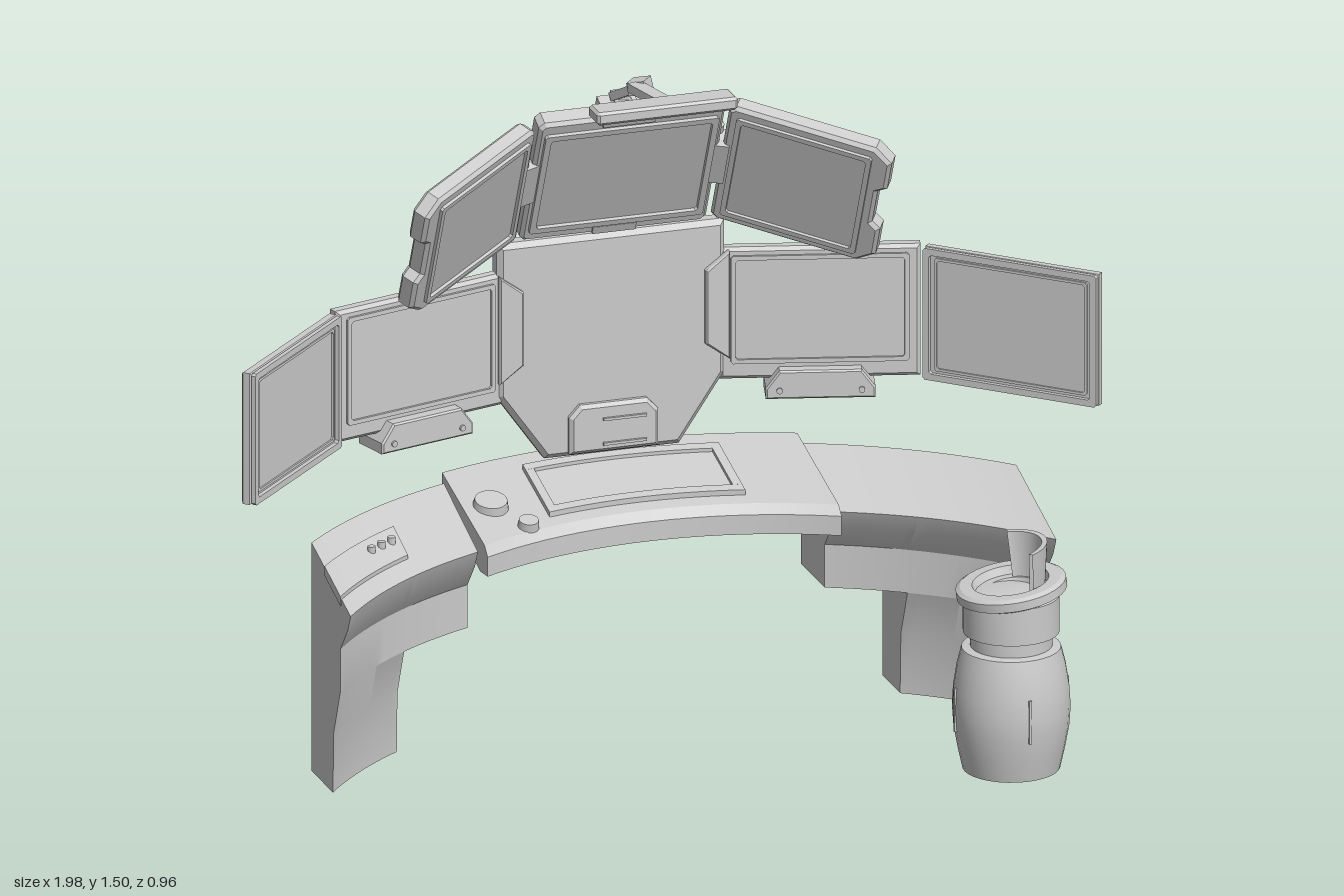
import * as THREE from 'three';
import { toCreasedNormals } from 'three/addons/utils/BufferGeometryUtils.js';

const grey = new THREE.MeshStandardMaterial({ color: 0xcccccc, side: THREE.DoubleSide });

function add(parent, name, geo, x = 0, y = 0, z = 0) {
  const m = new THREE.Mesh(geo, grey);
  m.name = name;
  m.position.set(x, y, z);
  parent.add(m);
  return m;
}
function group(parent, name, x = 0, y = 0, z = 0) {
  const g = new THREE.Group();
  g.name = name;
  g.position.set(x, y, z);
  parent.add(g);
  return g;
}
const box = (w, h, d) => new THREE.BoxGeometry(w, h, d);
const shapeOf = (pts) => new THREE.Shape(pts.map((p) => new THREE.Vector2(p[0], p[1])));
const rectPts = (w, h, c = 0) => [
  [-w / 2 + c, -h / 2], [w / 2 - c, -h / 2], [w / 2, -h / 2 + c], [w / 2, h / 2 - c],
  [w / 2 - c, h / 2], [-w / 2 + c, h / 2], [-w / 2, h / 2 - c], [-w / 2, -h / 2 + c]];

// flat plate of total thickness d, centred on z, with chamfered edges
function plate(pts, d, bevel = 0.008) {
  const g = new THREE.ExtrudeGeometry(shapeOf(pts), {
    depth: d - 2 * bevel, bevelEnabled: bevel > 0, bevelThickness: bevel,
    bevelSize: bevel, bevelOffset: -bevel, bevelSegments: 1 });
  return g.translate(0, 0, -d / 2 + bevel);
}
// rectangular border
function frame(w, h, border, d, c = 0.005) {
  const s = shapeOf(rectPts(w, h, c));
  s.holes.push(new THREE.Path(rectPts(w - 2 * border, h - 2 * border, c).map((p) => new THREE.Vector2(...p))));
  return new THREE.ExtrudeGeometry(s, { depth: d, bevelEnabled: false });
}
// joins [z, y] cross-sections along x, with end caps
function sweep(x0, x1, section, n = 10) {
  const pos = [], idx = [];
  const k = section(x0).length;
  for (let i = 0; i <= n; i++) {
    const x = x0 + (x1 - x0) * i / n;
    section(x).forEach(([z, y]) => pos.push(x, y, z));
    if (i === n) break;
    for (let j = 0; j < k; j++) {
      const a = i * k + j, b = i * k + (j + 1) % k;
      idx.push(a, b + k, b, a, a + k, b + k);
    }
  }
  const cap = section(x0).map((p) => new THREE.Vector2(...p));
  THREE.ShapeUtils.triangulateShape(cap, []).forEach(([a, b, c]) => {
    idx.push(a, b, c, n * k + a, n * k + c, n * k + b);
  });
  const g = new THREE.BufferGeometry();
  g.setAttribute('position', new THREE.Float32BufferAttribute(pos, 3));
  g.setIndex(idx);
  return toCreasedNormals(g, 0.3);
}

// plan curves of the desk: back edge, front edge, and the console's front edge
const back = (x) => 0.643 - Math.sqrt(1.21 - x * x);
const front = (x) => 0.777 - Math.sqrt(1.0404 - x * x);
const consoleFront = (x) => 0.67 - Math.sqrt(0.7569 - (x - 0.01) ** 2);

function buildDesk(root) {
  const desk = group(root, 'desk');
  const top = (x) => [[front(x) - 0.06, 0.35], [front(x) - 0.01, 0.41], [front(x) + 0.01, 0.45], [back(x), 0.53]];
  const leg = (x) => [[back(x), 0], [front(x) - 0.11, 0], [front(x) - 0.105, 0.14], [front(x) - 0.06, 0.25], ...top(x)];
  const step = (x) => [[back(x), 0.25], [front(x) - 0.06, 0.25], ...top(x)];
  add(desk, 'rightLeg', sweep(-0.795, -0.58, leg));
  add(desk, 'rightStep', sweep(-0.58, -0.4, step));
  add(desk, 'leftStep', sweep(0.42, 0.58, step));
  add(desk, 'leftLeg', sweep(0.58, 0.82, leg));

  // raised centre console
  add(desk, 'console', sweep(-0.395, 0.42, (x) => {
    const o = back(x) - 0.025, i = consoleFront(x);
    return [[o, 0.485], [i - 0.05, 0.405], [i, 0.41], [i, 0.455], [i - 0.02, 0.475], [o, 0.545]];
  }, 20));

  // slabs that follow a sloping surface from t = 0 (back) to t = 1 (front)
  const slab = (x0, x1, t0, t1, h, zb, zf, yb, yf) => sweep(x0, x1, (x) => {
    const at = (t, e) => [zb(x) + (zf(x) - zb(x)) * t, yb + (yf - yb) * t + e];
    return [at(t0, -0.01), at(t1, -0.01), at(t1, h), at(t0, h)];
  });
  const onConsole = (x0, x1, t0, t1, h) =>
    slab(x0, x1, t0, t1, h, (x) => back(x) - 0.025, (x) => consoleFront(x) - 0.02, 0.545, 0.475);
  add(desk, 'keyboard', onConsole(-0.19, 0.22, 0.28, 0.8, 0.004));
  add(desk, 'keyboardBackRim', onConsole(-0.21, 0.24, 0.2, 0.28, 0.012));
  add(desk, 'keyboardFrontRim', onConsole(-0.21, 0.24, 0.8, 0.88, 0.012));
  add(desk, 'keyboardSideRim', onConsole(-0.21, -0.19, 0.28, 0.8, 0.012));
  add(desk, 'keyboardSideRim', onConsole(0.22, 0.24, 0.28, 0.8, 0.012));

  // knobs
  [[-0.33, -0.27, 0.04, 0.514], [-0.27, -0.19, 0.024, 0.488]].forEach(([x, z, r, y]) => {
    add(desk, 'knob', new THREE.CylinderGeometry(r * 0.9, r, 0.02, 24), x, y, z).rotation.x = 0.25;
  });

  // control pad with three buttons
  add(desk, 'controlPad', slab(-0.8, -0.575, 0.38, 0.8, 0.012, back, front, 0.53, 0.45));
  [-0.66, -0.63, -0.6].forEach((x) => {
    add(desk, 'padButton', new THREE.CylinderGeometry(0.009, 0.009, 0.02, 10), x, 0.5, back(x) + 0.13);
  });
}

function buildMainScreens(root) {
  const wall = group(root, 'mainScreens');
  const hex = [[-0.265, 1.055], [-0.265, 0.7], [-0.155, 0.545], [0.155, 0.545], [0.26, 0.7], [0.26, 1.055]];
  add(wall, 'centrePanel', plate(hex, 0.05, 0.012), 0, 0, -0.436);

  // small access panel at the foot of the centre screen
  const hatch = [[-0.105, 0.555], [0.1, 0.555], [0.1, 0.64], [0.075, 0.667], [-0.08, 0.667], [-0.105, 0.64]];
  add(wall, 'hatch', plate(hatch, 0.025, 0.008), 0, 0, -0.405);
  add(wall, 'hatchSlot', box(0.1, 0.006, 0.01), 0.02, 0.632, -0.391);
  add(wall, 'hatchSlot', box(0.1, 0.006, 0.01), 0.02, 0.575, -0.391);

  for (const s of [-1, 1]) {
    const tab = [[0.265, 0.735], [0.265, 0.985], [0.21, 0.945], [0.21, 0.775]].map(([x, y]) => [x * s, y]);
    add(wall, 'sideTab', plate(tab, 0.02, 0.004), 0, 0, -0.406);

    // inner side screen
    const mid = group(wall, 'innerScreen', s * 0.465, 0.833, -0.38);
    mid.rotation.y = -s * 0.27;
    add(mid, 'innerPanel', plate(rectPts(0.44, 0.305), 0.036));
    add(mid, 'innerBezel', frame(0.39, 0.25, 0.01, 0.008), 0, 0.01, 0.016);
    const foot = [[-0.12, -0.19], [0.12, -0.19], [0.12, -0.165], [0.09, -0.125], [-0.09, -0.125], [-0.12, -0.165]];
    add(mid, 'bracket', plate(foot, 0.095, 0.004));
    for (const x of [-0.09, 0.09]) {
      add(mid, 'bracketBolt', new THREE.CylinderGeometry(0.007, 0.007, 0.01, 10), x, -0.17, 0.047).rotation.x = Math.PI / 2;
    }

    // outer side screen
    const out = group(wall, 'outerScreen', s * 0.831, 0.833, -0.147);
    out.rotation.y = -s * 0.777;
    add(out, 'outerPanel', plate(rectPts(0.42, 0.305), 0.026, 0.005), 0, 0, -0.005);
    add(out, 'outerBezel', frame(0.42, 0.305, 0.015, 0.01), 0, 0, 0.008);
    add(out, 'outerInnerBezel', frame(0.37, 0.262, 0.006, 0.004), 0, 0, 0.008);
  }
}

function buildUpperScreens(root) {
  // three screens leaning forward
  const top = group(root, 'upperScreens', -0.005, 1.232, -0.35);
  top.rotation.x = 0.42;
  add(top, 'upperCentrePanel', plate(rectPts(0.43, 0.35, 0.012), 0.05));
  add(top, 'upperCentreBezel', frame(0.4, 0.29, 0.014, 0.01), 0, 0, 0.024);
  add(top, 'lowerLatch', box(0.1, 0.02, 0.06), 0, -0.16, 0);
  add(top, 'armMount', box(0.12, 0.035, 0.065), -0.01, 0.172, 0);

  for (const s of [-1, 1]) {
    const wing = group(top, 'wingScreen', s * 0.225, 0, 0);
    wing.rotation.y = -s * 0.585;
    const outline = [[0.01, -0.155], [0.025, -0.167], [0.345, -0.167], [0.385, -0.135], [0.385, -0.06],
      [0.365, -0.045], [0.365, 0.045], [0.385, 0.06], [0.385, 0.135], [0.345, 0.167], [0.025, 0.167], [0.01, 0.155]];
    add(wing, 'wingPanel', plate(outline.map(([x, y]) => [x * s, y]), 0.045));
    add(wing, 'wingBezel', frame(0.31, 0.285, 0.012, 0.01), s * 0.187, 0, 0.02);
    const hinge = add(top, 'hinge', box(0.04, 0.11, 0.055), s * 0.222, 0, 0.005);
    hinge.rotation.y = -s * 0.29;
    add(top, 'hingePin', new THREE.CylinderGeometry(0.014, 0.014, 0.15, 12), s * 0.222, 0, -0.02);
  }

  // bent arm carrying a light bar
  const arm = group(root, 'lightArm', -0.017, 0, 0);
  const path = [[1.4, -0.295], [1.42, -0.29], [1.472, -0.195], [1.483, -0.165], [1.48, -0.04]];
  for (let i = 0; i < path.length - 1; i++) {
    const a = new THREE.Vector3(0, ...path[i]), b = new THREE.Vector3(0, ...path[i + 1]);
    const seg = add(arm, 'armSegment', box(i === 2 ? 0.042 : 0.034, i === 2 ? 0.03 : 0.02, a.distanceTo(b) + 0.01));
    seg.position.addVectors(a, b).multiplyScalar(0.5);
    seg.lookAt(b);
  }
  add(arm, 'armFoot', box(0.05, 0.02, 0.06), 0, 1.405, -0.285).rotation.x = 0.42;
  add(arm, 'lightBar', plate(rectPts(0.325, 0.066, 0.006), 0.03, 0.006), 0, 1.483, -0.021).rotation.x = -Math.PI / 2;
}

function buildBottle(root) {
  const bottle = group(root, 'bottle', 0.66, 0, 0.345);
  const lathe = (pts) => toCreasedNormals(
    new THREE.LatheGeometry(pts.map((p) => new THREE.Vector2(...p)), 32), 0.5);
  add(bottle, 'bottleBody', lathe([[0, 0], [0.107, 0], [0.118, 0.05], [0.127, 0.1], [0.13, 0.145],
    [0.127, 0.19], [0.119, 0.24], [0.109, 0.28], [0.09, 0.283], [0.09, 0.312], [0.106, 0.316],
    [0.106, 0.4], [0.06, 0.41], [0, 0.41]]));
  for (const a of [0, Math.PI / 2, Math.PI, -Math.PI / 2]) {
    add(bottle, 'bodySeam', box(0.006, 0.1, 0.006), 0.129 * Math.cos(a), 0.145, 0.129 * Math.sin(a));
  }
  // tilted lid with recessed mouth and a curved lip on the left
  const lid = group(bottle, 'lid', 0, 0.418, 0);
  lid.rotation.z = 0.14;
  add(lid, 'lidRing', lathe([[0.105, -0.02], [0.122, -0.012], [0.122, 0.008], [0.112, 0.014],
    [0.085, 0.014], [0.078, -0.004], [0.058, -0.004], [0.052, -0.02], [0, -0.02]]));
  for (const r of [0, 0.012]) {
    add(lid, 'lip', new THREE.CylinderGeometry(0.092 - r, 0.074 - r, 0.1, 20, 1, true, Math.PI / 2 - 1.2, 2.4), 0, 0.045, 0);
  }
  add(lid, 'lipEdge', new THREE.RingGeometry(0.08, 0.092, 20, 1, -1.2, 2.4), 0, 0.095, 0).rotation.x = -Math.PI / 2;
}

export function createModel() {
  const root = new THREE.Group();
  root.name = 'commandDesk';
  buildDesk(root);
  buildMainScreens(root);
  buildUpperScreens(root);
  buildBottle(root);
  return root;
}
